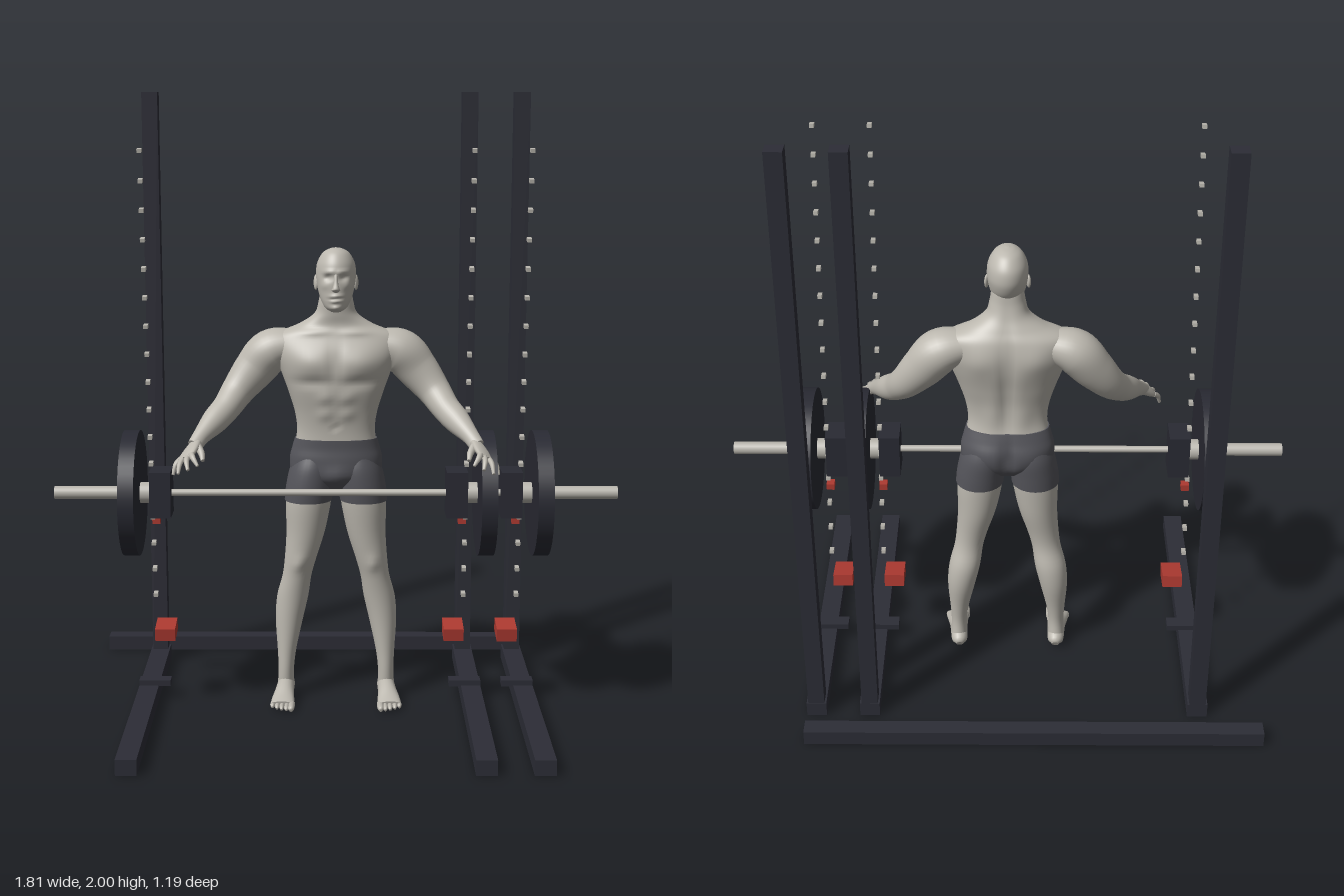
import * as THREE from 'three';

const mat = (name, color) => Object.assign(new THREE.MeshStandardMaterial({ color }), { name });
const V = (x, y, z) => new THREE.Vector3(x, y, z);

export function createModel() {
  const root = new THREE.Group();
  root.name = 'lifterInRack';
  const skin = mat('skin', 0xbcb8af);
  const cloth = mat('shorts grey', 0x55555b);
  const frame = mat('frame black', 0x2c2d36);
  const iron = mat('plate black', 0x292a33);
  const steel = mat('steel', 0xb8b5ad);
  const red = mat('red', 0xae3a31);

  const add = (parent, name, geo, material, x = 0, y = 0, z = 0) => {
    const m = new THREE.Mesh(geo, material);
    m.name = name;
    m.position.set(x, y, z);
    parent.add(m);
    return m;
  };
  const box = (p, name, m, w, h, d, x, y, z) => add(p, name, new THREE.BoxGeometry(w, h, d), m, x, y, z);
  const rod = (p, name, m, r, x0, x1, y, z, seg = 24) => {
    const g = new THREE.CylinderGeometry(r, r, Math.abs(x1 - x0), seg).rotateZ(Math.PI / 2);
    return add(p, name, g, m, (x0 + x1) / 2, y, z);
  };

  // Smooth capped tube through sections [x, y, z, halfWidth, halfDepth].
  // ref: direction of halfDepth; level: keep rings horizontal (sections go upwards).
  function loft(sections, { ref = V(0, 0, 1), level = false, sides = 20, steps = 4, power = 2, bumps = [] } = {}) {
    const path = new THREE.CatmullRomCurve3(sections.map((s) => V(s[0], s[1], s[2])), false, 'catmullrom');
    const size = new THREE.CatmullRomCurve3(sections.map((s) => V(s[3], s[4], 0)), false, 'catmullrom');
    const n = (sections.length - 1) * steps;
    const rings = [];
    for (let i = 0; i <= n; i++) {
      const c = path.getPoint(i / n), r = size.getPoint(i / n);
      const t = level ? V(0, 1, 0) : path.getTangent(i / n);
      const u = t.clone().cross(ref).normalize(), v = u.clone().cross(t);
      const ring = [];
      for (let j = 0; j < sides; j++) {
        const a = (j / sides) * Math.PI * 2, ca = Math.cos(a), sa = Math.sin(a);
        const k = (w) => Math.sign(w) * Math.abs(w) ** (2 / power);
        const p = c.clone().addScaledVector(u, r.x * k(ca)).addScaledVector(v, r.y * k(sa));
        // bumps [side, x, y, spreadX, spreadY, height], mirrored in x
        let dz = 0;
        for (const [side, bx, by, sx, sy, h] of bumps) {
          const g = Math.exp(-(((Math.abs(p.x) - bx) / sx) ** 2) - ((p.y - by) / sy) ** 2);
          dz += side * h * g * Math.max(0, side * sa);
        }
        p.z += dz;
        ring.push(p);
      }
      rings.push(ring);
    }
    const mid = (ring) => {
      const c = V(0, 0, 0);
      ring.forEach((p) => c.add(p));
      return ring.map(() => c.clone().divideScalar(sides));
    };
    const all = [mid(rings[0]), rings[0], ...rings, rings[n], mid(rings[n])];
    const index = [];
    for (let i = 0; i < all.length - 1; i++) {
      if (i === 1 || i === all.length - 3) continue;
      for (let j = 0; j < sides; j++) {
        const k = (j + 1) % sides, a = i * sides + j, b = i * sides + k;
        index.push(a, a + sides, b, b, a + sides, b + sides);
      }
    }
    const g = new THREE.BufferGeometry().setFromPoints(all.flat());
    g.setIndex(index);
    g.computeVertexNormals();
    return g;
  }

  // Rack: one rear beam and three stations
  box(root, 'rearBeam', frame, 1.48, 0.05, 0.055, -0.087, 0.025, -0.568);
  for (const [x, s] of [[-0.625, -1], [0.45, 1], [0.625, 1]]) {
    const st = new THREE.Group();
    st.name = 'rackStation';
    st.position.x = x;
    root.add(st);
    box(st, 'floorRail', frame, 0.065, 0.05, 1.05, 0, 0.025, 0.065);
    box(st, 'upright', frame, 0.053, 2, 0.053, 0, 1, -0.432);
    box(st, 'railBracket', frame, 0.105, 0.02, 0.045, -0.02 * s, 0.058, -0.058);
    rod(st, 'weightPlate', iron, 0.202, 0.005 * s, 0.055 * s, 0.73, 0.03, 48);
    rod(st, 'collar', steel, 0.034, -0.028 * s, 0.006 * s, 0.73, 0.03);
    box(st, 'carriage', iron, 0.068, 0.15, 0.1, -0.061 * s, 0.73, 0.024);
    box(st, 'latch', red, 0.026, 0.022, 0.03, -0.038 * s, 0.625, -0.03);
    box(st, 'safetyStop', red, 0.066, 0.042, 0.092, -0.063 * s, 0.25, -0.027).rotation.x = 0.13;
    for (let i = 0; i < 17; i++) {
      box(st, 'peg', steel, 0.014, 0.012, 0.024, -0.029 * s, 0.366 + i * 0.0912, -0.048 + i * 0.01256).rotation.x = 0.13;
    }
  }

  // Barbell
  rod(root, 'bar', steel, 0.011, -0.62, 0.62, 0.73, 0.03);
  for (const s of [-1, 1]) rod(root, 'barSleeve', steel, 0.021, s * 0.6, s * 0.907, 0.73, 0.03);

  // Figure
  const man = new THREE.Group();
  man.name = 'figure';
  root.add(man);

  const torso = [
    [0, 0.86, -0.075, 0.136, 0.066], [0, 0.92, -0.068, 0.127, 0.06], [0, 0.98, -0.065, 0.134, 0.065],
    [0, 1.05, -0.065, 0.155, 0.08], [0, 1.12, -0.068, 0.18, 0.092], [0, 1.18, -0.073, 0.2, 0.09],
    [0, 1.23, -0.08, 0.195, 0.075], [0, 1.265, -0.078, 0.12, 0.06], [0, 1.3, -0.068, 0.07, 0.053],
    [0, 1.34, -0.06, 0.056, 0.049], [0, 1.38, -0.058, 0.05, 0.046]];
  add(man, 'torso', loft(torso, {
    level: true, sides: 64, steps: 6, power: 2.3,
    bumps: [
      [1, 0.08, 1.15, 0.06, 0.04, 0.013], [1, 0, 1.15, 0.012, 0.06, -0.008], [1, 0.08, 1.085, 0.07, 0.016, -0.008],
      [1, 0.035, 1.035, 0.025, 0.02, 0.006], [1, 0.035, 0.98, 0.025, 0.02, 0.006], [1, 0, 0.935, 0.008, 0.008, -0.006],
      [1, 0.07, 1.245, 0.05, 0.01, 0.006], [-1, 0, 1.08, 0.02, 0.16, -0.014], [-1, 0.09, 1.17, 0.05, 0.05, 0.01],
      [-1, 0.05, 0.95, 0.03, 0.06, 0.006]],
  }), skin);

  const head = [
    [0, 1.313, -0.008, 0.016, 0.02], [0, 1.325, -0.012, 0.034, 0.04], [0, 1.345, -0.022, 0.046, 0.056],
    [0, 1.37, -0.035, 0.055, 0.071], [0, 1.4, -0.043, 0.061, 0.08], [0, 1.43, -0.047, 0.064, 0.083],
    [0, 1.465, -0.047, 0.06, 0.078], [0, 1.495, -0.045, 0.044, 0.058], [0, 1.509, -0.043, 0.024, 0.034],
    [0, 1.514, -0.042, 0.004, 0.005]];
  add(man, 'head', loft(head, {
    level: true, sides: 64, steps: 6,
    bumps: [
      [1, 0.026, 1.424, 0.014, 0.01, -0.011], [1, 0.022, 1.443, 0.025, 0.007, 0.006], [1, 0.04, 1.398, 0.014, 0.012, 0.005],
      [1, 0, 1.366, 0.02, 0.006, 0.007], [1, 0, 1.358, 0.02, 0.003, -0.006], [1, 0, 1.35, 0.016, 0.005, 0.007],
      [1, 0, 1.328, 0.018, 0.009, 0.008]],
  }), skin);
  add(man, 'nose', loft([
    [0, 1.379, 0.037, 0.006, 0.006], [0, 1.386, 0.04, 0.014, 0.014], [0, 1.393, 0.042, 0.011, 0.015],
    [0, 1.41, 0.037, 0.007, 0.01], [0, 1.436, 0.032, 0.006, 0.005]], { level: true, sides: 16 }), skin);

  // Hips with shorts
  add(man, 'shortsHips', loft([
    [0, 0.725, -0.08, 0.06, 0.045], [0, 0.765, -0.08, 0.14, 0.074], [0, 0.82, -0.08, 0.151, 0.078],
    [0, 0.86, -0.077, 0.143, 0.071], [0, 0.892, -0.072, 0.134, 0.066]], {
    level: true, sides: 48, power: 2.2, bumps: [[-1, 0, 0.8, 0.015, 0.06, -0.016], [-1, 0.07, 0.805, 0.05, 0.04, 0.008], [1, 0, 0.77, 0.04, 0.03, 0.01]],
  }), cloth);

  for (const s of [-1, 1]) {
    const side = (list) => list.map(([x, ...r]) => [s * x, ...r]);
    const part = (name, list, opt, m = skin) => add(man, name, loft(side(list), opt), m);

    part('shortsLeg', [
      [0.091, 0.682, -0.078, 0.078, 0.077], [0.086, 0.73, -0.078, 0.078, 0.08],
      [0.077, 0.79, -0.08, 0.074, 0.079], [0.07, 0.84, -0.08, 0.06, 0.065]], { level: true, sides: 32 }, cloth);
    part('leg', [
      [0.168, 0.035, -0.085, 0.028, 0.033], [0.167, 0.1, -0.08, 0.026, 0.032], [0.164, 0.17, -0.085, 0.032, 0.037],
      [0.156, 0.27, -0.095, 0.046, 0.048], [0.144, 0.35, -0.094, 0.052, 0.051], [0.13, 0.42, -0.082, 0.048, 0.047],
      [0.118, 0.48, -0.077, 0.052, 0.052], [0.101, 0.57, -0.079, 0.063, 0.063], [0.092, 0.66, -0.078, 0.073, 0.072],
      [0.086, 0.72, -0.078, 0.074, 0.075]], { level: true, sides: 32, bumps: [[1, 0.122, 0.475, 0.02, 0.022, 0.007]] });

    // Foot and toes
    const up = V(0, 1, 0);
    part('foot', [
      [0.165, 0.025, -0.127, 0.012, 0.012], [0.166, 0.033, -0.112, 0.026, 0.027], [0.168, 0.038, -0.075, 0.029, 0.033],
      [0.171, 0.034, -0.03, 0.031, 0.03], [0.175, 0.024, 0.015, 0.037, 0.02], [0.177, 0.017, 0.052, 0.039, 0.012]], { ref: up });
    for (let i = 0; i < 5; i++) {
      const x = 0.146 + i * 0.0155, r = i ? 0.008 : 0.011, z = 0.09 - i * i * 0.0018;
      part('toe', [[x, 0.015, 0.035, r, r], [x + 0.001, 0.015, z - 0.012, r, r], [x + 0.001, 0.011, z, r * 0.5, r * 0.5]], { ref: up, sides: 10 });
    }

    // Arm reaching down, out and forward
    part('arm', [
      [0.13, 1.2, -0.083, 0.05, 0.06], [0.21, 1.175, -0.089, 0.071, 0.074], [0.265, 1.115, -0.085, 0.067, 0.062],
      [0.317, 1.05, -0.062, 0.054, 0.052], [0.352, 1.002, -0.015, 0.046, 0.046], [0.387, 0.967, 0.032, 0.042, 0.04],
      [0.425, 0.93, 0.09, 0.028, 0.026], [0.445, 0.905, 0.125, 0.024, 0.019]], { sides: 32, steps: 6 });

    // Open hand with spread fingers
    const back = V(s * 0.61, 0.76, 0.17);
    part('palm', [
      [0.438, 0.914, 0.112, 0.02, 0.016], [0.452, 0.898, 0.138, 0.031, 0.015],
      [0.464, 0.884, 0.16, 0.036, 0.013], [0.474, 0.872, 0.178, 0.033, 0.009]], { ref: back });
    const tips = [[0.428, 0.862, 0.226], [0.458, 0.85, 0.232], [0.49, 0.834, 0.215], [0.509, 0.823, 0.178]];
    tips.forEach(([x, y, z], i) => {
      const d = -0.027 + i * 0.018, b = [0.468 + d * 0.65, 0.88 - d * 0.38, 0.168 - d * 0.65];
      const m = [(b[0] + x) / 2 + 0.004, (b[1] + y) / 2 + 0.007, (b[2] + z) / 2 + 0.003];
      part('finger', [[...b, 0.01, 0.009], [...m, 0.009, 0.008], [x, y, z, 0.005, 0.005]], { ref: back, sides: 10 });
    });
    part('thumb', [
      [0.436, 0.908, 0.135, 0.013, 0.012], [0.421, 0.889, 0.162, 0.011, 0.01],
      [0.415, 0.87, 0.186, 0.006, 0.006]], { ref: back, sides: 10 });

    // Ear
    const ear = add(man, 'ear', new THREE.SphereGeometry(1, 16, 12), skin, s * 0.064, 1.402, -0.053);
    ear.scale.set(0.007, 0.025, 0.014);
    ear.rotation.set(-0.2, s * -0.3, 0);
  }
  return root;
}
